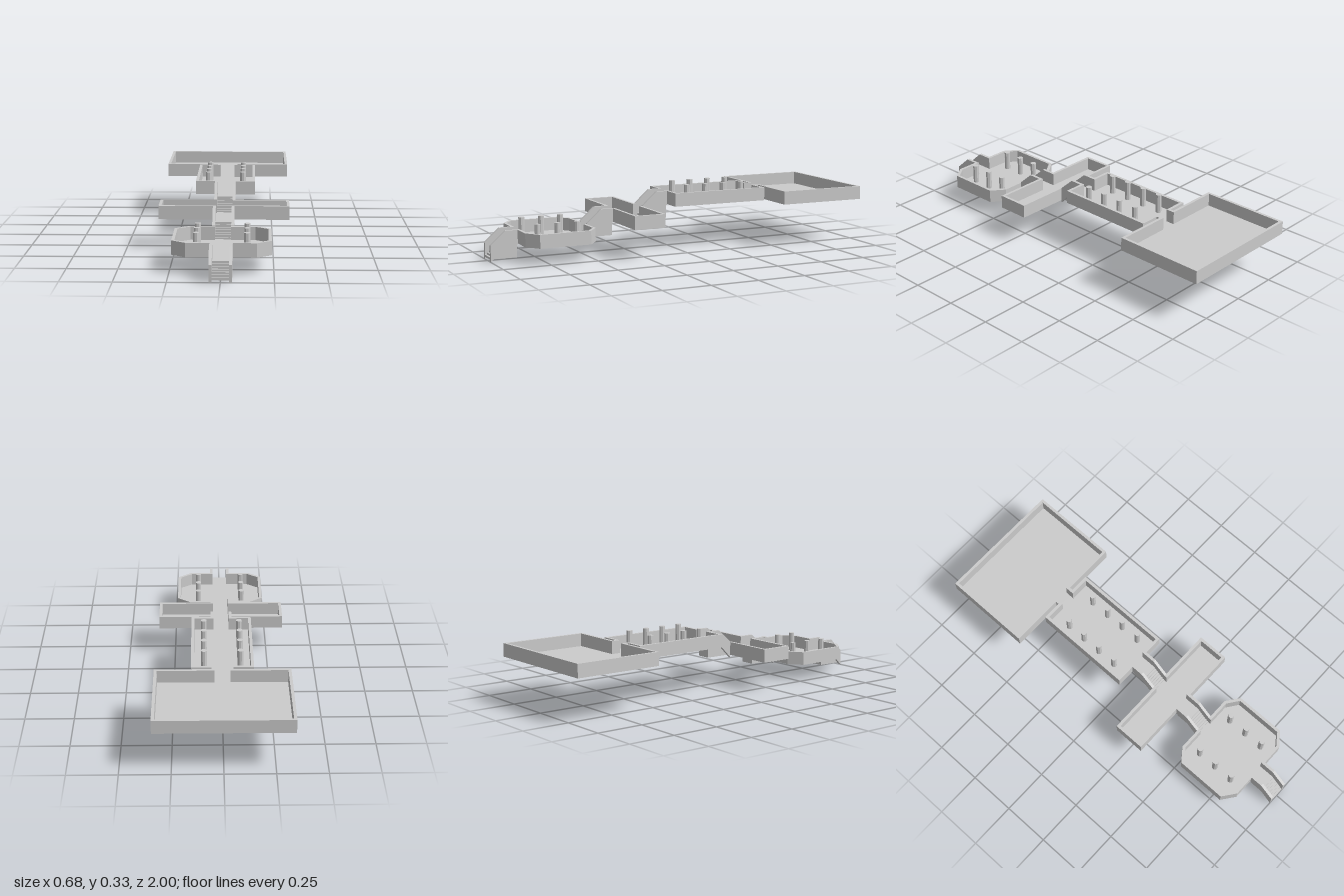
import * as THREE from 'three';

const T = 0.015;      // wall thickness
const WALL = 0.07;    // wall height
const FLOOR = 0.003;  // floor thickness
const DOOR = 0.04;    // half width of doorways and stairs
const RISE = 0.073;   // height of one flight
const RUN = 0.078;    // length of one flight
const STEPS = 7;

const mat = new THREE.MeshStandardMaterial({ color: 0xcccccc, flatShading: true });

function mesh(geo, name) {
  const m = new THREE.Mesh(geo, mat);
  m.name = name;
  return m;
}

const toShape = (pts) => new THREE.Shape(pts.map(([a, b]) => new THREE.Vector2(a, b)));

// Extrude a plan outline of [x, z] points from y0 up to y1
function plan(pts, y0, y1, name) {
  const geo = new THREE.ExtrudeGeometry(toShape(pts), { depth: y1 - y0, bevelEnabled: false });
  geo.rotateX(Math.PI / 2).translate(0, y1, 0);
  return mesh(geo, name);
}

// Extrude a side profile of [z, y] points from x0 to x1
function profile(pts, x0, x1, name) {
  const geo = new THREE.ExtrudeGeometry(toShape(pts.map(([z, y]) => [-z, y])), { depth: x1 - x0, bevelEnabled: false });
  geo.rotateY(Math.PI / 2).translate(x0, 0, 0);
  return mesh(geo, name);
}

// Right-hand side of a room outline, front to back, with cut corners cx by cz
function corners(w, zf, zb, cx, cz) {
  if (!cx) return [[w, zf], [w, zb]];
  return [[w - cx, zf], [w, zf - cz], [w, zb + cz], [w - cx, zb]];
}

// Floor with a wall around it, open at the front and optionally at the back
function room({ name, w, zf, zb, y, cx = 0, cz = 0, backDoor = true, pillars = null }) {
  const g = new THREE.Group();
  g.name = name;
  const flip = (pts) => pts.map(([x, z]) => [-x, z]);
  const outer = corners(w, zf, zb, cx, cz);
  const cut = cx ? T * 0.55 : 0;
  const inner = corners(w - T, zf - T, zb + T, cx - cut, cz - cut);
  g.add(plan([...outer, ...flip(outer).reverse()], y, y + FLOOR, 'floor'));

  const back = backDoor ? DOOR : 0;
  const half = [[DOOR, zf], ...outer, [back, zb], [back, zb + T], ...[...inner].reverse(), [DOOR, zf - T]];
  g.add(plan(half, y + FLOOR, y + WALL, 'leftWall'));
  g.add(plan(flip(half), y + FLOOR, y + WALL, 'rightWall'));

  // Two rows of octagonal pillars
  if (pillars) {
    for (const z of pillars.z) {
      for (const s of [-1, 1]) {
        const geo = new THREE.CylinderGeometry(0.0158, 0.0158, 0.102, 8);
        geo.rotateY(Math.PI / 8).translate(s * pillars.x, y + 0.052, z);
        g.add(mesh(geo, 'pillar'));
      }
    }
  }
  return g;
}

// Solid flight of steps with a landing, rising from zf back to zb, and sloped side walls
function stairs(name, zf, zb, top) {
  const g = new THREE.Group();
  g.name = name;
  const low = top - RISE;
  const pts = [[zb, low], [zf, low]];
  for (let i = 0; i < STEPS; i++) {
    const y = low + ((i + 1) / STEPS) * (RISE + FLOOR);
    pts.push([zf - (i / STEPS) * RUN, y], [zf - ((i + 1) / STEPS) * RUN, y]);
  }
  pts.push([zb, top + FLOOR]);
  g.add(profile(pts, -DOOR, DOOR, 'steps'));

  const bend = zf - RUN;
  const side = [
    [zf, low - 0.012], [zf, low + WALL + 0.003], [bend, top + WALL],
    [zb, top + WALL], [zb, top - 0.004], [bend, top - 0.004],
  ];
  g.add(profile(side, DOOR, DOOR + T, 'leftStairWall'));
  g.add(profile(side, -DOOR - T, -DOOR, 'rightStairWall'));
  return g;
}

export function createModel() {
  const model = new THREE.Group();
  model.name = 'steppedRooms';
  const y1 = 0.085, y2 = y1 + RISE, y3 = y2 + RISE - 0.001;

  // Stairs, from the entrance upwards
  model.add(stairs('entranceStairs', 1, 0.857, y1));
  model.add(stairs('middleStairs', 0.48, 0.335, y2));
  model.add(stairs('upperStairs', 0.165, 0.024, y3));

  // Rooms, front to back
  model.add(room({
    name: 'octagonRoom', w: 0.239, zf: 0.857, zb: 0.48, y: y1, cx: 0.07, cz: 0.053,
    pillars: { x: 0.122, z: [0.562, 0.668, 0.775] },
  }));
  model.add(room({ name: 'crossRoom', w: 0.334, zf: 0.335, zb: 0.165, y: y2 }));
  model.add(room({
    name: 'pillarHall', w: 0.157, zf: 0.024, zb: -0.508, y: y3,
    pillars: { x: 0.092, z: [-0.075, -0.182, -0.288, -0.395] },
  }));
  model.add(room({ name: 'greatRoom', w: 0.34, zf: -0.526, zb: -1, y: y3, backDoor: false }));

  // Short passage between the two upper rooms
  const passage = new THREE.Group();
  passage.name = 'passage';
  const strip = (x0, x1) => [[x0, -0.508], [x1, -0.508], [x1, -0.526], [x0, -0.526]];
  passage.add(plan(strip(-DOOR - T, DOOR + T), y3, y3 + FLOOR, 'passageFloor'));
  passage.add(plan(strip(DOOR, DOOR + T), y3 + FLOOR, y3 + WALL, 'leftPassageWall'));
  passage.add(plan(strip(-DOOR - T, -DOOR), y3 + FLOOR, y3 + WALL, 'rightPassageWall'));
  model.add(passage);

  return model;
}
